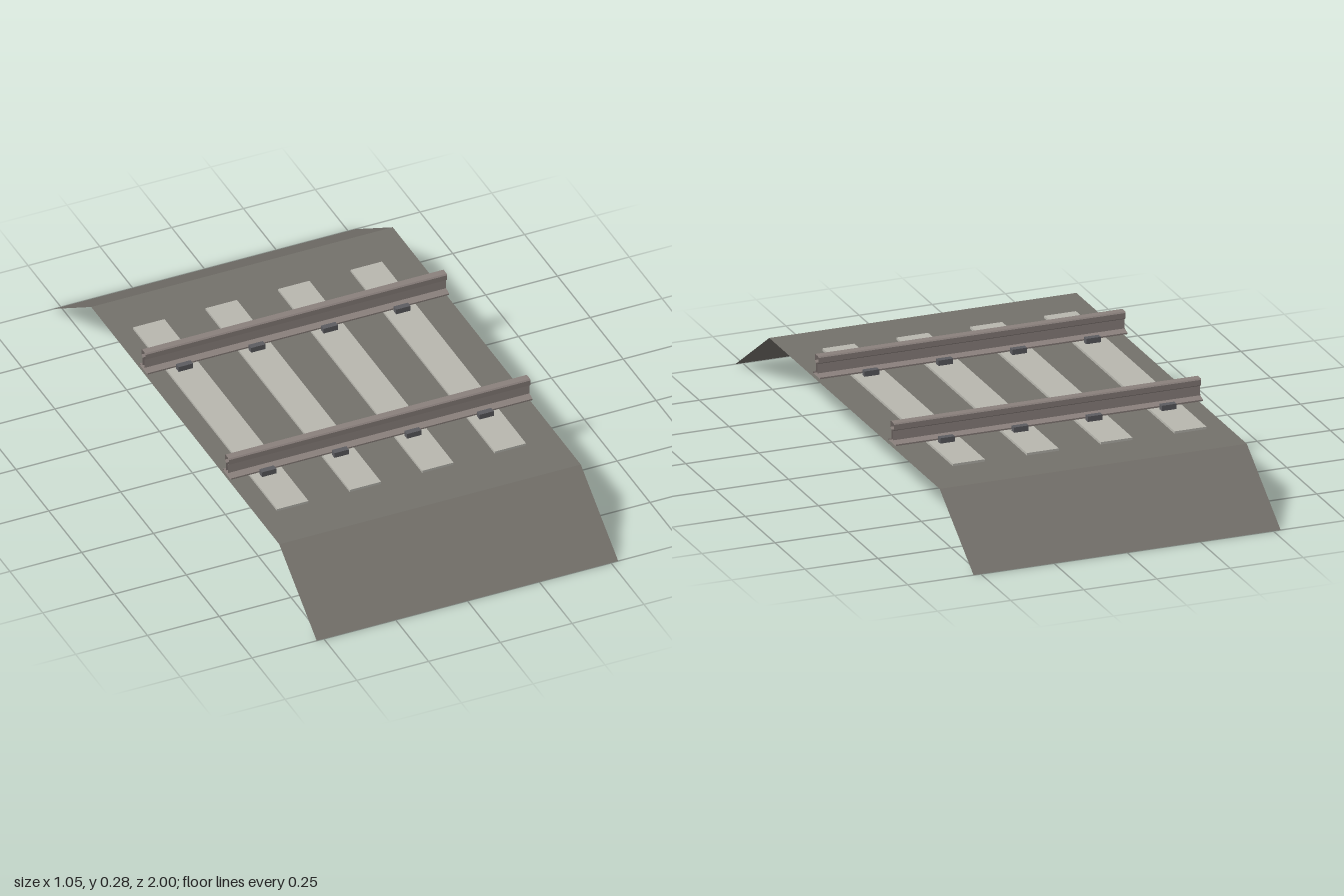
import * as THREE from 'three';

const LENGTH = 1.05;

function material(color, open = false) {
  return new THREE.MeshStandardMaterial({
    color, flatShading: true, side: open ? THREE.DoubleSide : THREE.FrontSide,
  });
}

// Open surface: a profile of [z, y] points swept along x, without end caps
function sweep(profile, name, mat) {
  const pos = [];
  const h = LENGTH / 2;
  for (let i = 0; i < profile.length - 1; i++) {
    const [z0, y0] = profile[i];
    const [z1, y1] = profile[i + 1];
    pos.push(-h, y0, z0, h, y1, z1, h, y0, z0);
    pos.push(-h, y0, z0, -h, y1, z1, h, y1, z1);
  }
  const geo = new THREE.BufferGeometry();
  geo.setAttribute('position', new THREE.Float32BufferAttribute(pos, 3));
  geo.computeVertexNormals();
  const mesh = new THREE.Mesh(geo, mat);
  mesh.name = name;
  return mesh;
}

function box(name, w, h, d, x, y, z, mat) {
  const mesh = new THREE.Mesh(new THREE.BoxGeometry(w, h, d), mat);
  mesh.name = name;
  mesh.position.set(x, y, z);
  return mesh;
}

export function createModel() {
  const model = new THREE.Group();
  model.name = 'railwayTrack';
  const ballastMat = material(0x74716b, true);
  const sleeperMat = material(0xb8b7af);
  const railMat = material(0x8a807c, true);
  const clipMat = material(0x5c5c60);

  // Ballast bed: flat top with two sloping shoulders
  model.add(sweep([[1, 0], [0.715, 0.191], [-0.715, 0.191], [-1, 0]], 'ballastBed', ballastMat));

  // Rail section: foot, web and head, mirrored about its centre line
  const half = [
    [0.03, 0.204], [0.03, 0.209], [0.008, 0.216], [0.006, 0.247],
    [0.016, 0.253], [0.016, 0.271], [0.012, 0.275],
  ];
  const section = [...half, ...half.map(([z, y]) => [-z, y]).reverse(), half[0]];
  const gauge = 0.317;
  for (const side of [1, -1]) {
    const rail = sweep(section, side > 0 ? 'frontRail' : 'backRail', railMat);
    rail.position.z = side * gauge;
    model.add(rail);
  }

  // Sleepers, each with a pair of clips at both rails
  for (let i = 0; i < 4; i++) {
    const x = -0.401 + i * 0.2525;
    const tie = new THREE.Group();
    tie.name = 'sleeperAssembly';
    tie.add(box('sleeper', 0.109, 0.088, 1.096, x, 0.155, 0, sleeperMat));
    for (const side of [1, -1]) {
      for (const edge of [1, -1]) {
        const z = side * gauge + edge * 0.041;
        tie.add(box('railClip', 0.05, 0.018, 0.02, x, 0.208, z, clipMat));
      }
    }
    model.add(tie);
  }
  return model;
}
